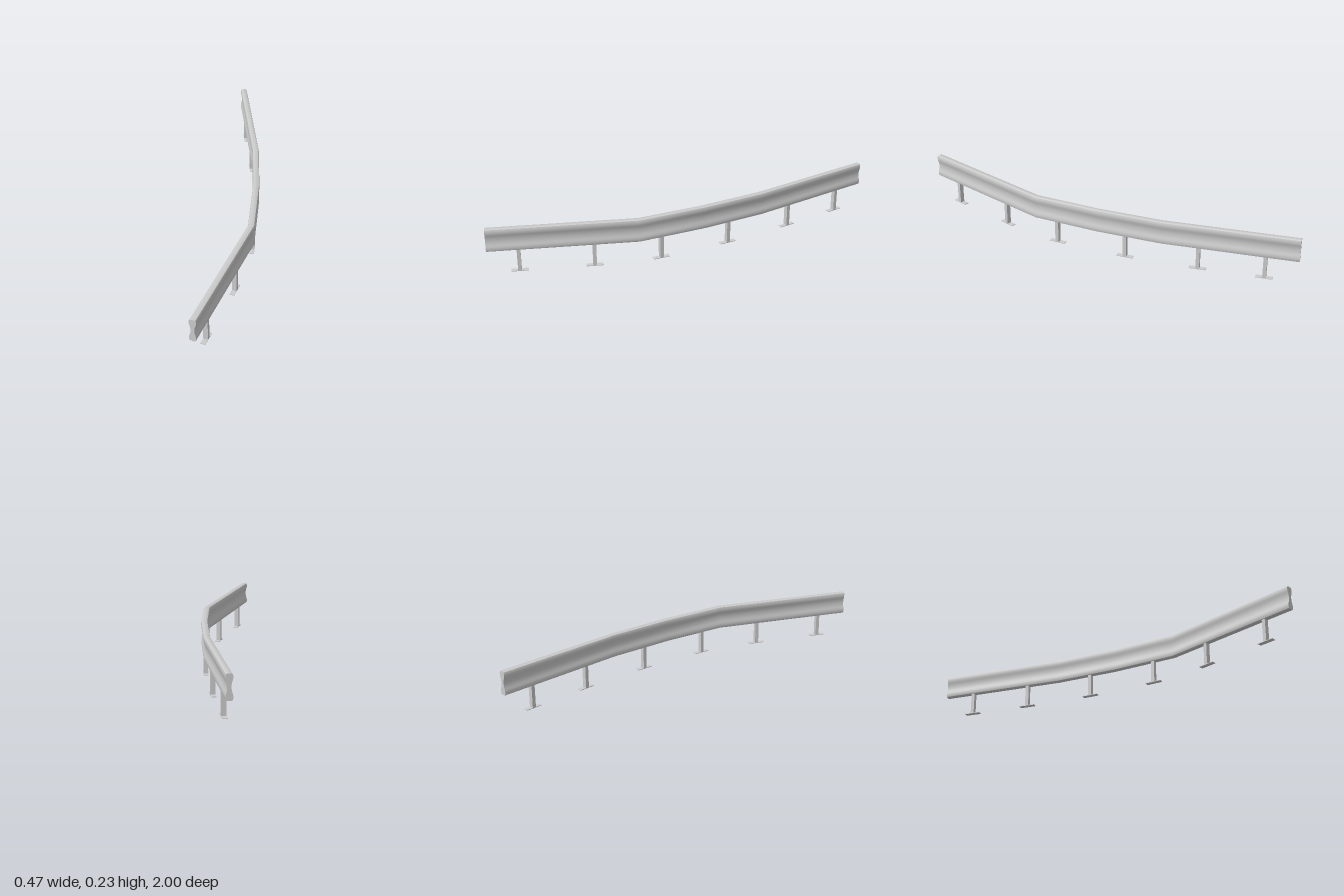
import * as THREE from 'three';
import { toCreasedNormals } from 'three/addons/utils/BufferGeometryUtils.js';

// Centre line of the rail on the ground, from back to front: x, z
const PATH = [[0.218, -1], [0.209, -0.33], [0.171, 0], [0.108, 0.335], [-0.221, 0.992]]
  .map(([x, z]) => new THREE.Vector2(x, z));

// Half of the dog-bone section, top to waist: half width, height
const HALF = [[0.010, 0.235], [0.0142, 0.2325], [0.0164, 0.226], [0.0168, 0.217],
  [0.0158, 0.208], [0.0125, 0.199], [0.0102, 0.189], [0.0088, 0.1755]];
const BOTTOM = 0.116;
const POST_Z = [-0.84, -0.515, -0.145, 0.22, 0.53, 0.855];

const direction = (i) => PATH[i + 1].clone().sub(PATH[i]).normalize();

// Sweeps the section along the path with mitred corners and flat ends
function railGeometry() {
  const lower = HALF.slice(0, -1).reverse().map(([u, y]) => [u, 0.235 + BOTTOM - y]);
  const side = [...HALF, ...lower];
  const section = [...side, ...side.map(([u, y]) => [-u, y]).reverse()];
  const n = section.length, last = PATH.length - 1;
  const positions = [], index = [];

  PATH.forEach((p, i) => {
    const before = direction(Math.max(i - 1, 0));
    const after = direction(Math.min(i, last - 1));
    const d = before.clone().add(after).normalize();
    const mitre = 1 / d.dot(after);
    for (const [u, y] of section) {
      positions.push(p.x + d.y * u * mitre, y, p.y - d.x * u * mitre);
    }
  });
  for (let j = 0; j < last; j++) {
    for (let i = 0; i < n; i++) {
      const a = j * n + i, b = j * n + (i + 1) % n;
      index.push(a, b + n, b, a, a + n, b + n);
    }
  }
  // End caps, as strips between the two sides of the section
  const e = last * n;
  for (let i = 0; i < side.length - 1; i++) {
    const a = i, b = i + 1, c = n - 2 - i, d = n - 1 - i;
    index.push(a, b, c, a, c, d);
    index.push(e + a, e + c, e + b, e + a, e + d, e + c);
  }
  const geometry = new THREE.BufferGeometry();
  geometry.setAttribute('position', new THREE.Float32BufferAttribute(positions, 3));
  geometry.setIndex(index);
  return toCreasedNormals(geometry, 0.65);
}

export function createModel() {
  const model = new THREE.Group();
  model.name = 'guardRail';
  const material = new THREE.MeshStandardMaterial({ color: 0xcccccc });

  const add = (parent, name, geometry, y = 0) => {
    const mesh = new THREE.Mesh(geometry, material);
    mesh.name = name;
    mesh.position.y = y;
    parent.add(mesh);
  };

  add(model, 'rail', railGeometry());

  // Posts on long foot plates, turned to follow the rail
  const postGeometry = new THREE.BoxGeometry(0.0235, 0.116, 0.018);
  const plateGeometry = new THREE.BoxGeometry(0.0235, 0.003, 0.084);
  for (const z of POST_Z) {
    let i = 0;
    while (PATH[i + 1].y < z) i++;
    const d = direction(i);
    const support = new THREE.Group();
    support.name = 'support';
    support.position.set(PATH[i].x + (z - PATH[i].y) * d.x / d.y, 0, z);
    support.rotation.y = Math.atan2(d.x, d.y);
    add(support, 'post', postGeometry, 0.059);
    add(support, 'footPlate', plateGeometry, 0.0015);
    model.add(support);
  }
  return model;
}
